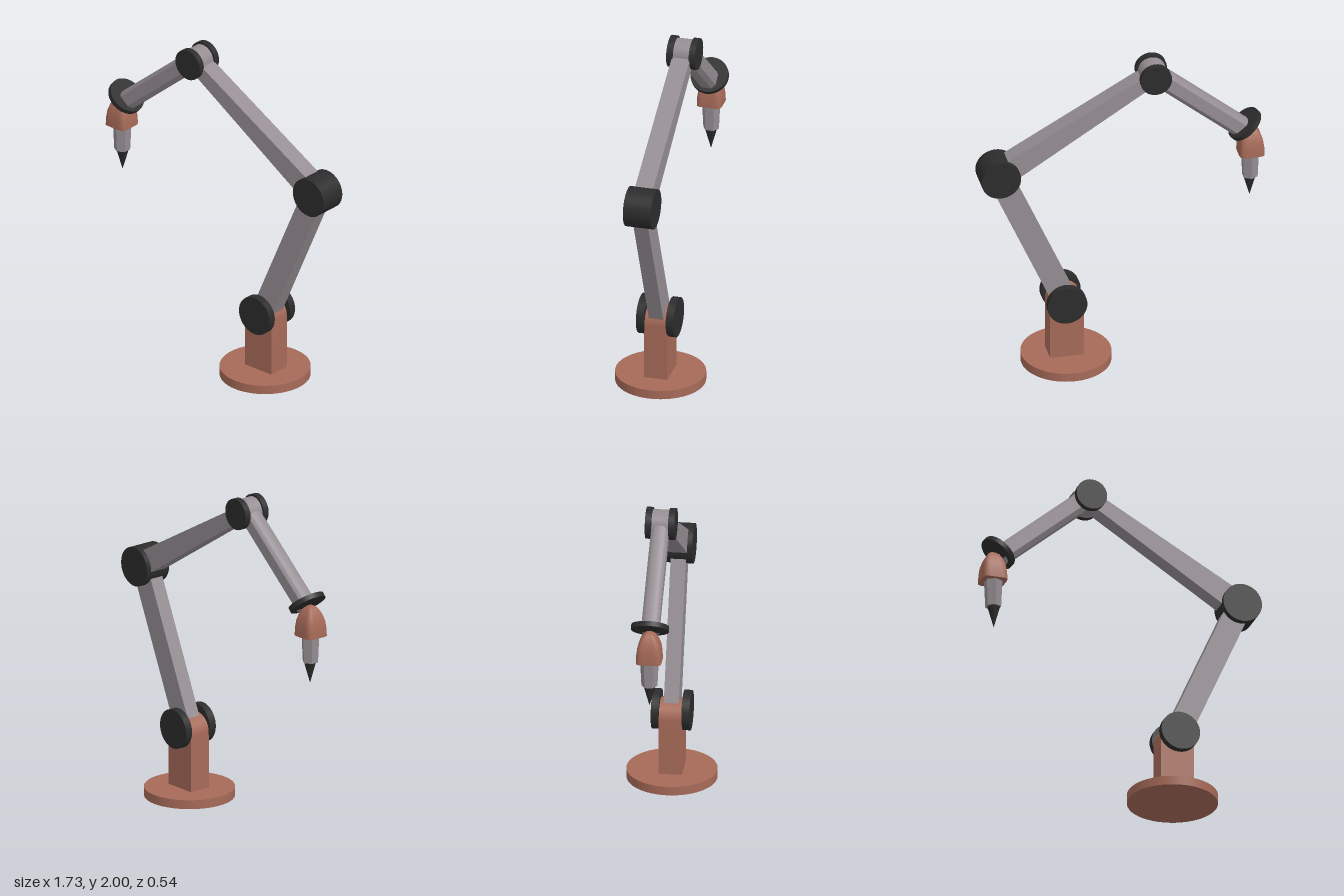
import * as THREE from 'three';
import { toCreasedNormals } from 'three/addons/utils/BufferGeometryUtils.js';

const paint = (name, color) => {
  const m = new THREE.MeshStandardMaterial({ color });
  m.name = name;
  return m;
};

export function createModel() {
  const rust = paint('rust', 0xa66a58);
  const grey = paint('warm grey', 0x958d92);
  const black = paint('charcoal', 0x2c2c2c);

  const model = new THREE.Group();
  model.name = 'robotArm';

  function add(name, geometry, material, x = 0, y = 0, z = 0) {
    const mesh = new THREE.Mesh(geometry, material);
    mesh.name = name;
    mesh.position.set(x, y, z);
    model.add(mesh);
    return mesh;
  }

  // Drum lying along z
  function drum(name, material, x, y, z, radius, depth) {
    const g = new THREE.CylinderGeometry(radius, radius, depth, 40).rotateX(Math.PI / 2);
    return add(name, g, material, x, y, z);
  }

  // Pair of joint caps mirrored front and back
  function caps(name, x, y, radius, inner, outer) {
    for (const s of [1, -1]) {
      drum(name, black, x, y, s * (inner + outer) / 2, radius, outer - inner);
    }
  }

  // Flat beam between two joints, with a width at each end
  function beam(name, a, b, widthA, widthB, depth) {
    const p = new THREE.Vector2(...a), q = new THREE.Vector2(...b);
    const d = q.clone().sub(p).normalize();
    const n = new THREE.Vector2(-d.y, d.x);
    const corner = (c, w) => c.clone().addScaledVector(n, w / 2);
    const shape = new THREE.Shape([
      corner(p, widthA), corner(p, -widthA), corner(q, -widthB), corner(q, widthB),
    ]);
    const g = new THREE.ExtrudeGeometry(shape, { depth, bevelEnabled: false });
    return add(name, g.translate(0, 0, -depth / 2), grey);
  }

  const shoulder = [0.345, 0.43], elbow = [0.74, 1.335], wrist = [-0.2, 1.905];

  // Base plate and round-topped column
  add('basePlate', new THREE.CylinderGeometry(0.27, 0.27, 0.055, 48), rust, 0.33, 0.0275, 0);
  const column = new THREE.Shape();
  column.moveTo(-0.103, 0.04);
  column.lineTo(0.103, 0.04);
  column.lineTo(0.103, 0.4);
  column.absarc(0, 0.4, 0.103, 0, Math.PI, false);
  const columnGeo = new THREE.ExtrudeGeometry(column, { depth: 0.14, bevelEnabled: false, curveSegments: 16 });
  add('column', toCreasedNormals(columnGeo, 0.6), rust, 0.338, 0, -0.07);
  caps('shoulderCap', ...shoulder, 0.12, 0.068, 0.115);

  // Main arms
  beam('lowerArm', shoulder, elbow, 0.145, 0.145, 0.09);
  drum('elbowJoint', black, ...elbow, 0, 0.12, 0.17);
  beam('upperArm', elbow, wrist, 0.145, 0.085, 0.11);
  drum('upperKnuckle', grey, ...wrist, 0, 0.083, 0.108);
  caps('upperCap', ...wrist, 0.095, 0.05, 0.088);

  // Forearm: rounded top, chamfered underside
  const section = new THREE.Shape();
  section.moveTo(-0.03, -0.06);
  section.lineTo(0.03, -0.06);
  section.lineTo(0.052, -0.034);
  section.lineTo(0.052, 0.035);
  section.quadraticCurveTo(0.04, 0.06, 0, 0.06);
  section.quadraticCurveTo(-0.04, 0.06, -0.052, 0.035);
  section.lineTo(-0.052, -0.034);
  section.closePath();
  const start = new THREE.Vector3(-0.2, 1.918, 0), end = new THREE.Vector3(-0.745, 1.458, 0);
  const forearmGeo = new THREE.ExtrudeGeometry(section, {
    depth: start.distanceTo(end), bevelEnabled: false, curveSegments: 6,
  });
  add('forearm', toCreasedNormals(forearmGeo, 0.5), grey, ...start.toArray()).lookAt(end);

  // Tilted flange at the end of the forearm
  const flange = add('wristFlange', new THREE.CylinderGeometry(0.113, 0.113, 0.03, 32), black, -0.755, 1.48, 0);
  flange.quaternion.setFromUnitVectors(
    new THREE.Vector3(0, 1, 0), new THREE.Vector3(0.64, 0.768, 0).normalize());

  // Tool housing: a dome pushed out towards a rounded square
  const profile = [[0, 0], [0.076, 0], [0.076, 0.001], [0.074, 0.05], [0.068, 0.095],
    [0.055, 0.135], [0.035, 0.17], [0.015, 0.186], [0, 0.19]];
  const dome = new THREE.LatheGeometry(profile.map(([r, y]) => new THREE.Vector2(r, y)), 40);
  const pos = dome.attributes.position;
  for (let i = 0; i < pos.count; i++) {
    const x = pos.getX(i), z = pos.getZ(i), r = Math.hypot(x, z);
    if (r < 1e-6) continue;
    const k = r / Math.pow(Math.abs(x) ** 6 + Math.abs(z) ** 6, 1 / 6);
    pos.setX(i, x * k);
    pos.setZ(i, z * k);
  }
  add('toolHousing', toCreasedNormals(dome, 0.7), rust, -0.789, 1.285, 0);

  // Nozzle and pointed tip
  const nozzle = new THREE.CylinderGeometry(0.056, 0.048, 0.17, 6).toNonIndexed();
  nozzle.computeVertexNormals();
  add('nozzle', nozzle, grey, -0.786, 1.205, 0);
  add('tip', new THREE.ConeGeometry(0.038, 0.135, 12).rotateX(Math.PI), black, -0.783, 1.055, 0);

  return model;
}
